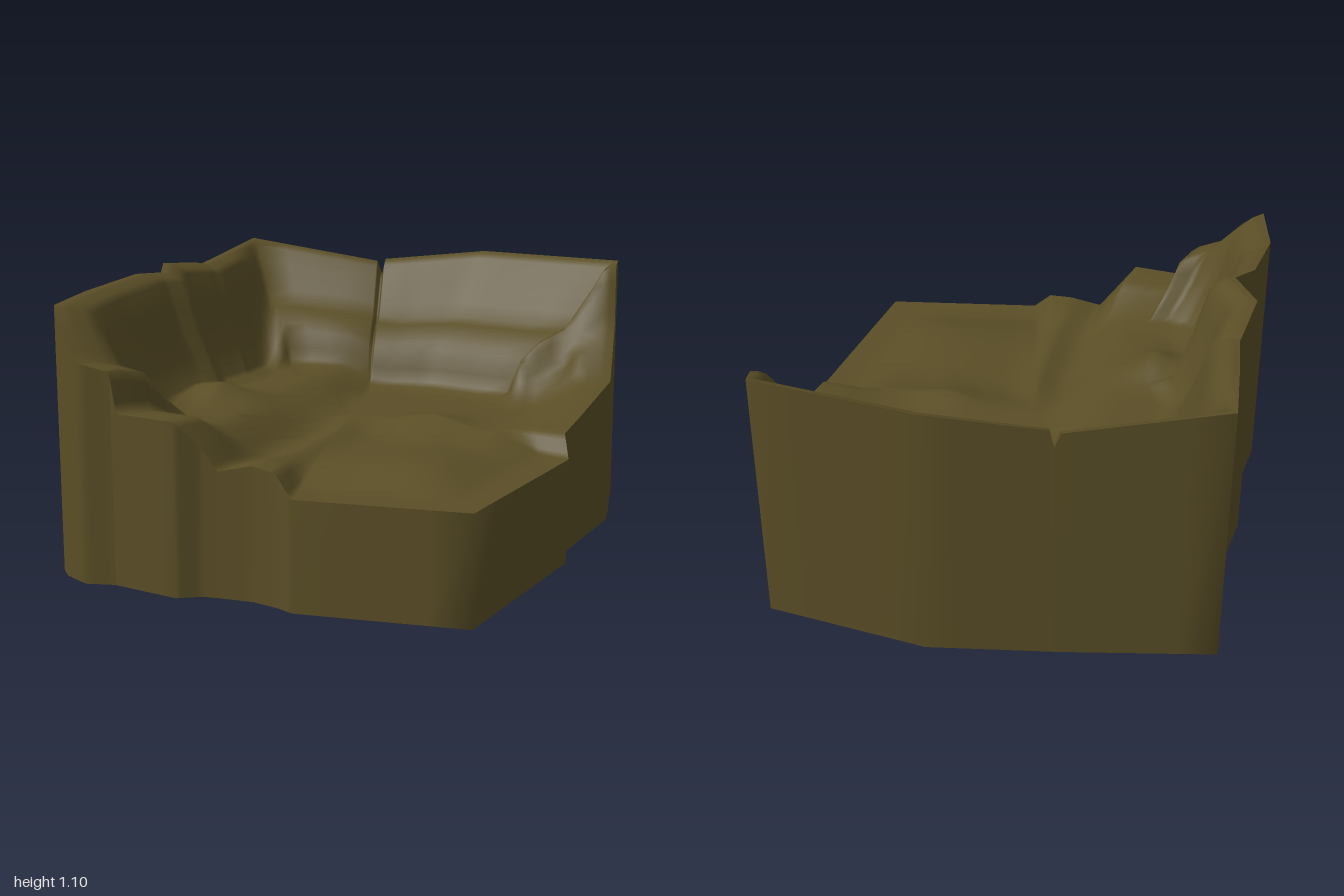
import * as THREE from 'three';

// Outline of the armchair, counter-clockwise from above: [x, z, rim height]
const RIM = [
  [-0.89, -0.82, 1.10], [-0.87, -0.5, 1.07], [-0.85, -0.25, 1.05], [-0.86, -0.2, 1.06], [-0.89, 0.01, 1.08],
  [-0.79, 0.2, 1.07], [-0.86, 0.28, 1.07], [-0.90, 0.59, 1.04], [-0.85, 0.88, 1.03],
  [-0.80, 0.93, 0.97], [-0.69, 0.98, 0.84], [-0.58, 0.95, 0.81], [-0.55, 0.955, 0.66],
  [-0.30, 0.99, 0.66], [-0.22, 0.94, 0.57], [-0.15, 0.93, 0.48], [-0.02, 0.92, 0.51],
  [0.08, 0.94, 0.50], [0.16, 0.97, 0.42], [0.80, 0.88, 0.42],
  [0.90, 0.08, 0.43], [0.86, 0.0, 0.51], [0.87, -0.18, 0.54], [0.90, -0.52, 0.62],
  [0.86, -0.72, 0.82], [0.83, -0.83, 1.06], [0.82, -0.90, 1.07], [0.18, -1.0, 1.07],
  [-0.27, -0.932, 1.02], [-0.285, -0.93, 0.95], [-0.31, -0.926, 1.01],
];
const CENTRE = [-0.05, -0.05];

// Share of the rim height kept at fraction t of the way to the centre
const ARM = [[0, 1], [0.05, 1], [0.13, 0.92], [0.2, 0.5], [0.3, 0.06], [0.4, 0], [1, 0]];
const BACK = [[0, 1], [0.04, 0.98], [0.1, 0.8], [0.2, 0.52], [0.3, 0.43], [0.37, 0.3], [0.42, 0.06], [0.5, 0], [1, 0]];
const RINGS = [0, 0.025, 0.05, 0.09, 0.13, 0.165, 0.2, 0.25, 0.3, 0.34, 0.37, 0.4, 0.42, 0.46, 0.5, 0.6, 0.7, 0.8, 0.9, 1];

function sample(profile, t) {
  for (let i = 1; i < profile.length; i++) {
    const [a, u] = profile[i - 1], [b, v] = profile[i];
    if (t <= b) return u + (v - u) * (t - a) / (b - a);
  }
  return 0;
}

const step = (v, a, b) => THREE.MathUtils.smoothstep(v, a, b);
const bump = (x, z, cx, cz, w) => Math.exp(-((x - cx) ** 2 + (z - cz) ** 2) / (w * w));

// Height of the seat with its raised left side, folds and front cushion
function seatHeight(x, z) {
  const left = 0.08 * (1 - step(x, -0.32, -0.14));
  const groove = -0.035 * Math.exp(-(((x + 0.1) / 0.09) ** 2)) * step(z, 0, 0.25);
  const cushion = -0.04 * step(x, -0.02, 0.1) * step(z, 0.02, 0.14);
  return 0.5 + left + groove + cushion
    + 0.07 * bump(x, z, -0.5, 0.25, 0.12)
    + 0.04 * bump(x, z, 0.32, 0.0, 0.12)
    + 0.03 * bump(x, z, 0.45, 0.5, 0.25);
}

// Rim with each edge cut into short pieces
function densify(points, cuts) {
  const out = [];
  points.forEach((p, i) => {
    const q = points[(i + 1) % points.length];
    for (let k = 0; k < cuts; k++) out.push(p.map((v, j) => v + (q[j] - v) * k / cuts));
  });
  return out;
}

// Surface through closed loops of equal length
function loft(loops) {
  const n = loops[0].length, index = [];
  for (let r = 0; r < loops.length - 1; r++) {
    for (let i = 0; i < n; i++) {
      const j = (i + 1) % n;
      const a = r * n + i, b = r * n + j, c = a + n, d = b + n;
      index.push(a, b, d, a, d, c);
    }
  }
  const geometry = new THREE.BufferGeometry();
  geometry.setAttribute('position', new THREE.Float32BufferAttribute(loops.flat(2), 3));
  geometry.setIndex(index);
  geometry.computeVertexNormals();
  return geometry;
}

export function createModel() {
  const group = new THREE.Group();
  group.name = 'armchair';
  const fabric = new THREE.MeshStandardMaterial({ color: 0x5a4e26 });
  fabric.name = 'oliveFabric';
  fabric.side = THREE.DoubleSide;

  const rim = densify(RIM, 4);

  // Outer walls, open underneath
  const bottom = rim.map(([x, z]) => [x, 0.02 - 0.018 * z, z]);
  const top = rim.map(([x, z, y]) => [x, y, z]);
  const walls = new THREE.Mesh(loft([bottom, top]), fabric);
  walls.name = 'outerWalls';

  // Arms, backrest and seat in one upholstered surface
  const loops = RINGS.map((t) => rim.map(([x, z, y]) => {
    const px = x + (CENTRE[0] - x) * t, pz = z + (CENTRE[1] - z) * t;
    const back = step(-z, 0.5, 0.85);
    const keep = sample(ARM, t) * (1 - back) + sample(BACK, t) * back;
    const seat = seatHeight(px, pz);
    return [px, seat + (y - seat) * keep, pz];
  }));
  const upholstery = new THREE.Mesh(loft(loops), fabric);
  upholstery.name = 'seatArmsAndBackrest';

  group.add(walls, upholstery);
  return group;
}
